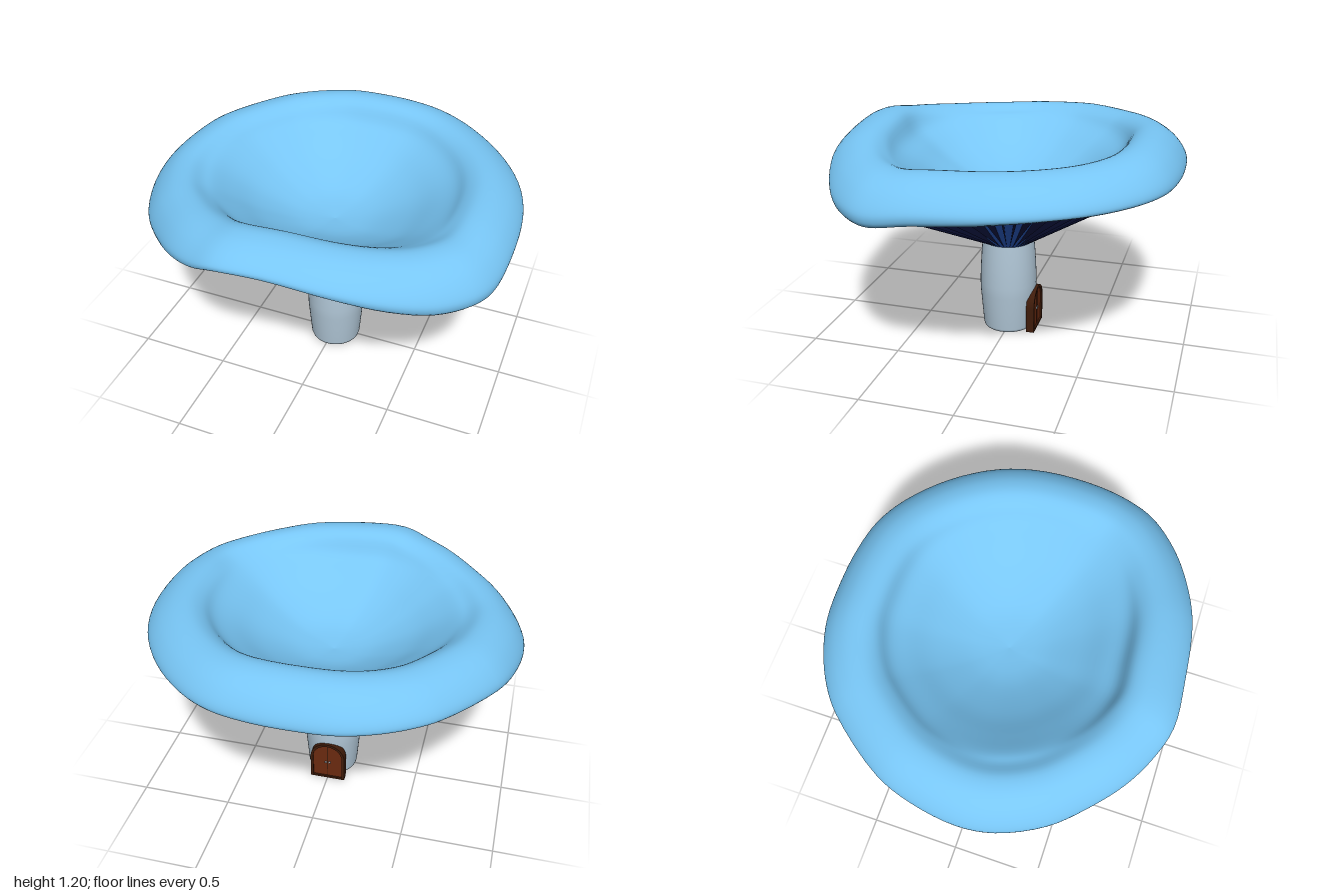
import * as THREE from 'three';
import { mergeGeometries } from 'three/addons/utils/BufferGeometryUtils.js';

const V = (x, y, z) => new THREE.Vector3(x, y, z);
const mat = (color, side = THREE.FrontSide) => new THREE.MeshStandardMaterial({ color, side });

// Wavy lower edge of the cap, going back, left, front, right
const rim = new THREE.CatmullRomCurve3([
  [-.02, .98, -.93], [.19, .98, -.92], [.38, .98, -.88], [.55, .98, -.79], [.75, .98, -.605], [.9, .98, -.37],
  [.975, .97, -.12], [.99, .945, .2], [.96, .905, .42], [.9, .905, .54], [.76, .92, .68], [.57, .965, .79],
  [.34, 1.025, .87], [0, 1.07, .91], [-.24, 1.06, .92], [-.4, 1, .87], [-.56, .955, .78], [-.72, .91, .64],
  [-.86, .88, .48], [-.97, .87, .25], [-1, .89, .06], [-.97, .925, -.18], [-.9, .955, -.38],
  [-.68, .975, -.68], [-.56, .98, -.78], [-.41, .98, -.86], [-.235, .98, -.915],
].map(p => V(...p)), true);

// Inner edge of the rim's lip, tucked in a little more at the back
const lipScale = z => .985 - .035 * Math.min(1, Math.max(0, -2 * z));

// Surface grid: point(u, v) with u around (or across) and v outwards
function grid(nu, nv, point, { closed = true, flip = false } = {}) {
  const pos = [], index = [], cols = closed ? nu : nu + 1;
  for (let i = 0; i < cols; i++)
    for (let j = 0; j <= nv; j++) pos.push(...point(i / nu, j / nv).toArray());
  for (let i = 0; i < nu; i++)
    for (let j = 0; j < nv; j++) {
      const a = i * (nv + 1) + j, b = ((i + 1) % cols) * (nv + 1) + j;
      if (flip) index.push(a, a + 1, b, b, a + 1, b + 1);
      else index.push(a, b, a + 1, b, b + 1, a + 1);
    }
  const g = new THREE.BufferGeometry();
  g.setAttribute('position', new THREE.Float32BufferAttribute(pos, 3));
  g.setIndex(index);
  g.computeVertexNormals();
  return g;
}

// Cap top: bowl, rolled crest and sloping outer skirt, following the rim
function capPoint(u, v) {
  const p = rim.getPoint(u), L = p.y;
  const C = 1.163 + .38 * (L - .98) + (p.z < 0 ? .045 * Math.pow(-p.z, 8) : 0);
  const h = t => L + (C - L) * t;
  const profile = new THREE.SplineCurve([
    [0, .815], [.2, .842], [.4, .925], [.54, 1.01], [.64, 1.072], [.7, C - .03], [.77, C],
    [.85, h(.95)], [.92, h(.76)], [.97, h(.52)], [1, h(.28)], [1, h(.1)], [lipScale(p.z), L],
  ].map(q => new THREE.Vector2(...q)));
  const q = profile.getPoint(v);
  return V(p.x * q.x, q.y, p.z * q.x);
}

// Straight line from the stem top to the outer end of the gills, bowed upwards
function gillPoint(u, t, bow) {
  const p = rim.getPoint(u);
  const flat = V(p.x, 0, p.z).normalize().multiplyScalar(.14);
  const start = V(flat.x + .01, .53, flat.z + .01);
  const end = V(p.x * .92, 1.01 + .8 * (p.y - .98), p.z * .92);
  const q = start.lerp(end, t);
  q.y += bow * Math.sin(Math.PI * Math.pow(t, 1.5));
  return q;
}

// Underside: gill cone, then a flat lip out to the rim
function underPoint(u, v) {
  if (v <= .8) return gillPoint(u, v / .8, .07);
  const p = rim.getPoint(u), s = lipScale(p.z);
  return gillPoint(u, 1, 0).lerp(V(p.x * s, p.y, p.z * s), (v - .8) / .2);
}

// Arched door outline
function arch(halfWidth, spring, bottom = 0) {
  const s = new THREE.Shape();
  s.moveTo(-halfWidth, bottom);
  s.lineTo(halfWidth, bottom);
  s.lineTo(halfWidth, spring);
  s.absarc(0, spring, halfWidth, 0, Math.PI, false);
  s.lineTo(-halfWidth, bottom);
  return s;
}

export function createModel() {
  const model = new THREE.Group();
  const add = (name, geometry, material, parent = model) => {
    const m = new THREE.Mesh(geometry, material);
    m.name = name;
    parent.add(m);
    return m;
  };

  // Stem
  const stemProfile = [[0, 0], [.125, 0], [.139, .006], [.143, .02], [.151, .12], [.159, .22],
    [.161, .28], [.157, .38], [.151, .47], [.145, .535]];
  add('stem', new THREE.LatheGeometry(stemProfile.map(p => new THREE.Vector2(...p)), 40), mat(0xb0c6d6, THREE.DoubleSide))
    .position.set(.008, 0, .01);

  // Cap and its underside
  add('cap', grid(108, 48, capPoint), mat(0x78c6f5, THREE.DoubleSide));
  add('underside', grid(108, 20, underPoint, { flip: true }), mat(0x2e60cc, THREE.DoubleSide));

  // Thin radial gills
  const blades = [], count = 72;
  for (let i = 0; i < count; i++)
    blades.push(grid(1, 16, (u, v) => gillPoint(i / count, v, .075 * u), { closed: false }));
  add('gills', mergeGeometries(blades), mat(0x0a1034, THREE.DoubleSide));

  // Arched double door on the back
  const door = new THREE.Group();
  door.name = 'door';
  door.rotation.y = Math.PI;
  door.position.z = -.12;
  model.add(door);
  const frame = arch(.1, .152);
  frame.holes.push(arch(.085, .152, .012));
  const extrude = (shape, depth) => new THREE.ExtrudeGeometry(shape, { depth, bevelEnabled: false, curveSegments: 16 });
  const dark = mat(0x3f1c0b);
  add('doorFrame', extrude(frame, .045), dark, door);
  add('doorPanel', extrude(arch(.09, .152, .006), .036), mat(0x6b2a10), door);
  add('doorSplit', new THREE.BoxGeometry(.005, .222, .004), dark, door).position.set(0, .124, .037);
  for (const side of [-1, 1])
    add('doorHandle', new THREE.SphereGeometry(.007, 10, 8), mat(0x8a9299), door).position.set(side * .011, .115, .038);

  return model;
}
